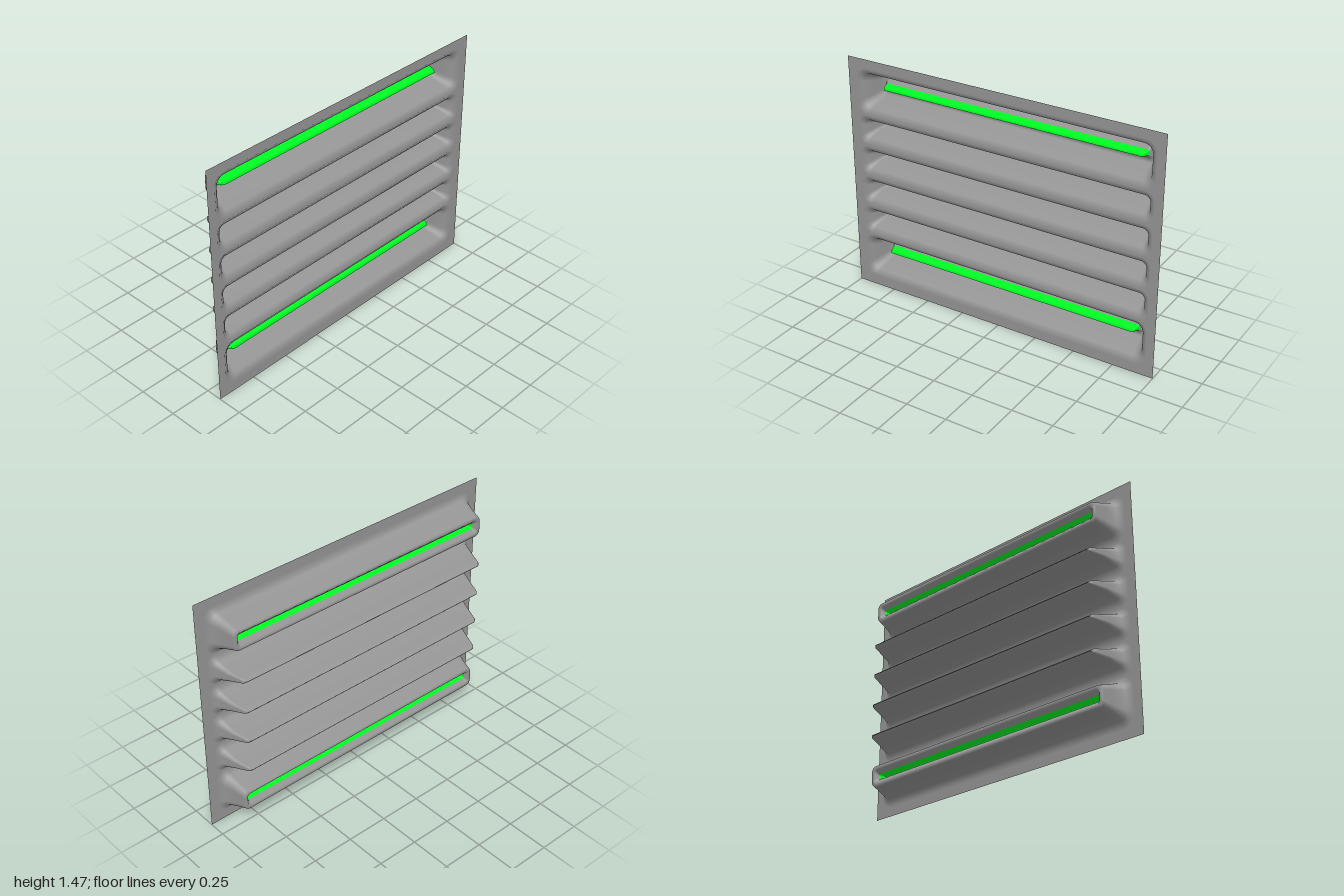
import * as THREE from 'three';

const CORNER_STEPS = 6;
const RING = 4 * (CORNER_STEPS + 1);

// Points of a rounded rectangle, counterclockwise
function roundedRect(hx, hy, round) {
  const r = hy * round, pts = [];
  [[1, 1], [-1, 1], [-1, -1], [1, -1]].forEach(([sx, sy], q) => {
    for (let k = 0; k <= CORNER_STEPS; k++) {
      const a = (q + k / CORNER_STEPS) * Math.PI / 2;
      pts.push(new THREE.Vector2(sx * (hx - r) + r * Math.cos(a), sy * (hy - r) + r * Math.sin(a)));
    }
  });
  return pts;
}

// Skin through rounded rectangles given as [z, half width, half height].
// The normals of ring 'facing' point straight forward, so it shades softly there.
function loft(rings, round, facing) {
  const pos = [], index = [];
  for (const [z, hx, hy] of rings) {
    for (const p of roundedRect(hx, hy, round)) pos.push(p.x, p.y, z);
  }
  for (let i = 0; i < rings.length - 1; i++) {
    for (let j = 0; j < RING; j++) {
      const a = i * RING + j, b = i * RING + (j + 1) % RING;
      index.push(a, b, a + RING, b, b + RING, a + RING);
    }
  }
  const geo = new THREE.BufferGeometry();
  geo.setAttribute('position', new THREE.Float32BufferAttribute(pos, 3));
  geo.setIndex(index);
  geo.computeVertexNormals();
  for (let j = 0; j < RING; j++) geo.attributes.normal.setXYZ(facing * RING + j, 0, 0, 1);
  return geo;
}

export function createModel() {
  const group = new THREE.Group();
  const grey = new THREE.MeshStandardMaterial({ color: 0x949494, side: THREE.DoubleSide });
  const green = new THREE.MeshStandardMaterial({ color: 0x00ff22, side: THREE.DoubleSide });
  const add = (name, geo, mat, y, z = 0) => {
    const mesh = new THREE.Mesh(geo, mat);
    mesh.name = name;
    mesh.position.set(0, y, z);
    group.add(mesh);
  };

  // Narrow louvre: a groove closing to a thin edge at the back
  const narrow = [
    [0.1, 0.95, 0.095], [0.075, 0.915, 0.058], [0, 0.89, 0.031],
    [-0.07, 0.863, 0.016], [-0.085, 0.857, 0.012], [-0.1, 0.84, 0.001],
  ];
  // Wide louvre: a flat-backed groove folding forward into a central ridge
  const wide = [
    [0.1, 0.95, 0.143], [0.075, 0.915, 0.107], [0.01, 0.892, 0.083], [-0.05, 0.877, 0.064],
    [-0.06, 0.873, 0.06], [-0.06, 0.857, 0.046], [-0.055, 0.852, 0.039], [-0.035, 0.84, 0.018],
  ];
  // Light strip: the green crest of that ridge
  const crest = [[-0.035, 0.84, 0.018], [0.005, 0.828, 0.009], [0.025, 0.815, 0.0005]];

  const louvres = [];
  for (const y of [0.2, 1.268]) louvres.push({ y, rings: wide, round: 0.5, lit: true });
  for (const y of [0.44, 0.636, 0.832, 1.028]) louvres.push({ y, rings: narrow, round: 0.6 });

  // Front sheet, cut open at each louvre mouth
  const sheet = new THREE.Shape([[-1, 0], [1, 0], [1, 1.467], [-1, 1.467]].map(p => new THREE.Vector2(...p)));
  for (const l of louvres) {
    const [, hx, hy] = l.rings[0];
    sheet.holes.push(new THREE.Path(roundedRect(hx, hy, l.round).map(p => p.setY(p.y + l.y))));
  }
  add('frontSheet', new THREE.ShapeGeometry(sheet), grey, 0, 0.1);

  for (const l of louvres) {
    add(l.lit ? 'wideLouvre' : 'narrowLouvre', loft(l.rings, l.round, 0), grey, l.y);
    if (l.lit) add('lightStrip', loft(crest, l.round, crest.length - 1), green, l.y);
  }
  return group;
}
